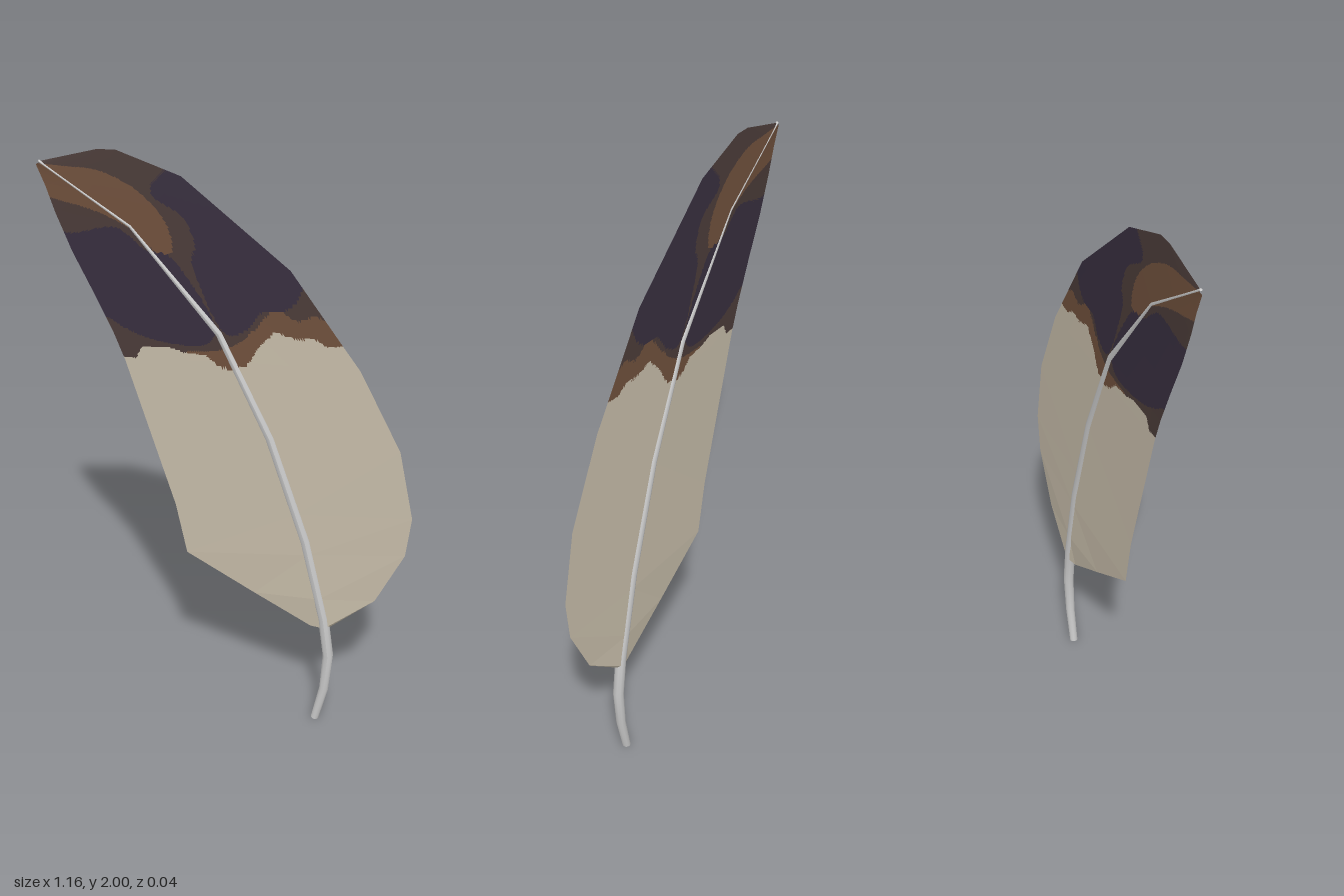
import * as THREE from 'three';

const mat = (name, color) => {
  const m = new THREE.MeshStandardMaterial({ color });
  m.name = name;
  return m;
};

// Quill centre line: x, y, radius
const QUILL = [
  [0.29, 0, 0.014], [0.318, 0.13, 0.016], [0.328, 0.27, 0.018], [0.308, 0.42, 0.018],
  [0.24, 0.72, 0.018], [0.12, 1.09, 0.016], [-0.04, 1.44, 0.013], [-0.305, 1.77, 0.007],
  [-0.572, 1.957, 0.004],
];

// Vane cross-sections from base to tip: left edge, shaft, right edge
const ROWS = [
  [0.265, 0.385, 0.312, 0.385, 0.33, 0.385],
  [0.075, 0.5, 0.29, 0.5, 0.475, 0.505],
  [-0.15, 0.64, 0.252, 0.67, 0.565, 0.69],
  [-0.185, 0.82, 0.208, 0.82, 0.58, 0.83],
  [-0.26, 1.075, 0.122, 1.085, 0.53, 1.07],
  [-0.335, 1.33, 0, 1.35, 0.395, 1.34],
  [-0.368, 1.42, -0.04, 1.44, 0.335, 1.425],
  [-0.425, 1.55, -0.167, 1.6, 0.175, 1.655],
  [-0.485, 1.68, -0.305, 1.77, -0.15, 1.93],
  [-0.53, 1.8, -0.435, 1.86, -0.34, 2],
  [-0.555, 1.88, -0.5, 1.907, -0.395, 2],
  [-0.58, 1.945, -0.574, 1.95, -0.568, 1.956],
];

// Lower border of the dark tip
const BORDER = [
  [-0.4, 1.34], [-0.3, 1.34], [-0.28, 1.38], [-0.2, 1.385], [-0.15, 1.37], [-0.08, 1.365],
  [-0.04, 1.33], [0, 1.32], [0.05, 1.34], [0.08, 1.4], [0.13, 1.455], [0.2, 1.435],
  [0.25, 1.44], [0.29, 1.415], [0.4, 1.425],
];

const blob = pts => {
  const v = pts.map(p => new THREE.Vector2(...p));
  return new THREE.SplineCurve([...v, v[0]]).getPoints(80);
};

// Markings on the tip
const INK = [
  blob([[-0.53, 1.74], [-0.47, 1.74], [-0.35, 1.765], [-0.26, 1.7], [-0.18, 1.675], [-0.07, 1.51],
    [-0.055, 1.43], [-0.11, 1.395], [-0.26, 1.41], [-0.39, 1.475], [-0.53, 1.6]]),
  blob([[-0.24, 1.9], [-0.12, 1.96], [0.19, 1.69], [0.21, 1.6], [0.17, 1.53], [0.09, 1.515],
    [0.035, 1.45], [-0.035, 1.455], [-0.12, 1.66], [-0.11, 1.72], [-0.15, 1.81], [-0.23, 1.86]]),
];
const RUST = [
  blob([[-0.59, 1.95], [-0.5, 1.945], [-0.39, 1.935], [-0.28, 1.88], [-0.2, 1.79], [-0.18, 1.7],
    [-0.225, 1.69], [-0.3, 1.76], [-0.415, 1.815], [-0.57, 1.86]]),
  blob([[-0.14, 1.375], [-0.04, 1.385], [0.03, 1.42], [0.09, 1.485], [0.13, 1.53], [0.2, 1.495],
    [0.26, 1.51], [0.36, 1.46], [0.34, 1.39], [0.1, 1.3], [-0.08, 1.3]]),
];

function inside(poly, x, y) {
  let hit = false;
  for (let i = 0, j = poly.length - 1; i < poly.length; j = i++) {
    const a = poly[i], b = poly[j];
    if ((a.y > y) !== (b.y > y) && x < (b.x - a.x) * (y - a.y) / (b.y - a.y) + a.x) hit = !hit;
  }
  return hit;
}

function borderY(x) {
  const i = Math.max(1, BORDER.findIndex(p => p[0] >= x));
  const [a, b] = [BORDER[i - 1], BORDER[i]];
  return THREE.MathUtils.mapLinear(x, a[0], b[0], a[1], b[1]);
}

function zone(x, y) {
  if (y < 1.3 || x > 0.39 || y < borderY(x)) return 'cream';
  if (INK.some(p => inside(p, x, y))) return 'ink';
  if (RUST.some(p => inside(p, x, y))) return 'rust';
  return 'umber';
}

// Vane: thin lens, thick at the shaft and sharp at the edges, sorted by colour
function buildVane(materials) {
  const bins = { cream: [], ink: [], rust: [], umber: [] };
  const lerp = THREE.MathUtils.lerp;
  const last = ROWS.length - 1;
  // s runs -1..1 from the left edge over the shaft to the right edge
  const point = (row, t, s) => {
    const r = ROWS[row].map((v, i) => lerp(v, ROWS[row + 1][i], t));
    const k = Math.abs(s), e = s < 0 ? 0 : 4;
    const thick = lerp(0.012, 0.003, (row + t) / last);
    return [lerp(r[2], r[e], k), lerp(r[3], r[e + 1], k), thick * (1 - k)];
  };
  for (let row = 0; row < last; row++) {
    const n = row < 4 ? 1 : 18, cols = row < 4 ? 2 : 100;
    for (let i = 0; i < n; i++) {
      for (let j = 0; j < cols; j++) {
        const [t0, t1] = [i / n, (i + 1) / n];
        const [s0, s1] = [j, j + 1].map(c => c / cols * 2 - 1);
        const a = point(row, t0, s0), b = point(row, t0, s1);
        const c = point(row, t1, s1), d = point(row, t1, s0);
        for (const tri of [[a, b, c], [a, c, d]]) {
          const cx = (tri[0][0] + tri[1][0] + tri[2][0]) / 3;
          const cy = (tri[0][1] + tri[1][1] + tri[2][1]) / 3;
          const bin = bins[zone(cx, cy)];
          tri.forEach(p => bin.push(p[0], p[1], p[2]));
          [...tri].reverse().forEach(p => bin.push(p[0], p[1], -p[2]));
        }
      }
    }
  }
  const vane = new THREE.Group();
  vane.name = 'vane';
  for (const key of Object.keys(bins)) {
    const g = new THREE.BufferGeometry();
    g.setAttribute('position', new THREE.Float32BufferAttribute(bins[key], 3));
    g.computeVertexNormals();
    const mesh = new THREE.Mesh(g, materials[key]);
    mesh.name = key + 'Vane';
    vane.add(mesh);
  }
  return vane;
}

// Quill: cylinder bent along the centre line
function buildQuill(material) {
  const n = QUILL.length - 1;
  const g = new THREE.CylinderGeometry(1, 1, 1, 10, n);
  const pos = g.attributes.position;
  for (let i = 0; i < pos.count; i++) {
    const k = Math.round((pos.getY(i) + 0.5) * n);
    const [x, y, r] = QUILL[k];
    const a = QUILL[Math.max(0, k - 1)], b = QUILL[Math.min(n, k + 1)];
    const len = Math.hypot(b[0] - a[0], b[1] - a[1]);
    const tx = (b[0] - a[0]) / len, ty = (b[1] - a[1]) / len;
    const side = pos.getX(i) * r;
    pos.setXYZ(i, x + ty * side, Math.max(0, y - tx * side), pos.getZ(i) * r);
  }
  g.computeVertexNormals();
  const quill = new THREE.Mesh(g, material);
  quill.name = 'quill';
  return quill;
}

export function createModel() {
  const feather = new THREE.Group();
  feather.name = 'feather';
  feather.add(buildVane({
    cream: mat('cream', 0xc4baa7),
    ink: mat('dark violet', 0x372e3e),
    rust: mat('brown', 0x6e4f3b),
    umber: mat('dark brown', 0x4a3b38),
  }));
  feather.add(buildQuill(mat('quill grey', 0xc8c8c8)));
  return feather;
}
